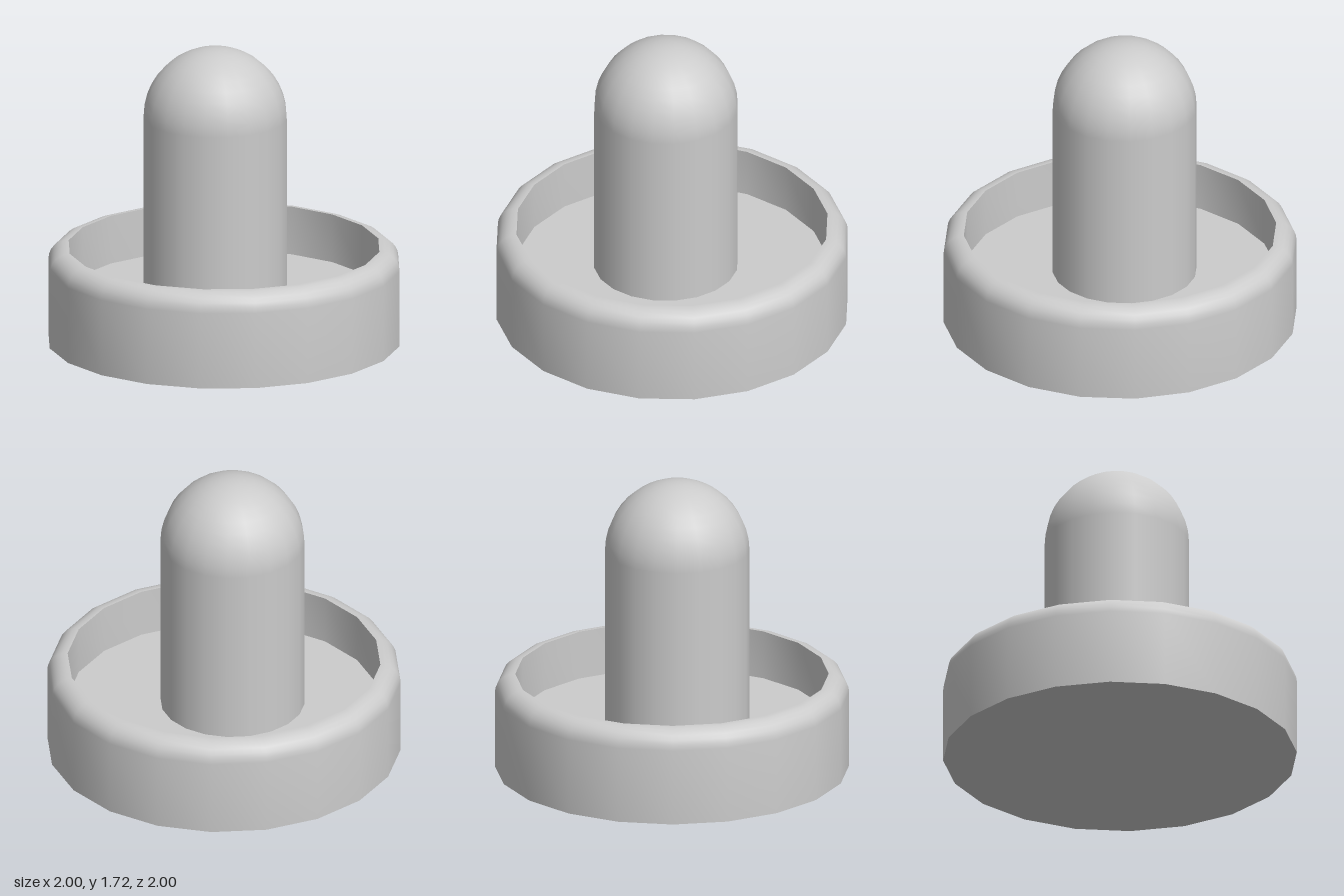
import * as THREE from 'three';
import { toCreasedNormals } from 'three/addons/utils/BufferGeometryUtils.js';

const SIDES = 20;
const material = new THREE.MeshStandardMaterial({ color: 0xcccccc });

function addPart(group, name, geometry, x = 0, y = 0) {
  const mesh = new THREE.Mesh(geometry, material);
  mesh.name = name;
  mesh.position.set(x, y, 0);
  group.add(mesh);
}

export function createModel() {
  const group = new THREE.Group();
  group.name = 'knobbedDisc';

  // Dish-shaped base: flat bottom, rounded outer rim, straight inner wall, sunken floor
  const height = 0.55, fillet = 0.11, innerRadius = 0.885, floorY = 0.27;
  const profile = [new THREE.Vector2(0, 0), new THREE.Vector2(1, 0)];
  for (let i = 0; i <= 6; i++) {
    const a = (i / 6) * Math.PI / 2;
    profile.push(new THREE.Vector2(
      1 - fillet + fillet * Math.cos(a),
      height - fillet + fillet * Math.sin(a)
    ));
  }
  profile.push(
    new THREE.Vector2(innerRadius, height),
    new THREE.Vector2(innerRadius, floorY),
    new THREE.Vector2(0, floorY)
  );
  addPart(group, 'base', toCreasedNormals(new THREE.LatheGeometry(profile, SIDES), 0.6));

  // Upright grip, set slightly off centre, with a hemispherical cap
  const radius = 0.408, gripX = -0.05, capY = 1.307;
  addPart(group, 'grip',
    new THREE.CylinderGeometry(radius, radius, capY - floorY, SIDES, 1, true),
    gripX, (capY + floorY) / 2);
  addPart(group, 'gripCap',
    new THREE.SphereGeometry(radius, SIDES, 10, 0, Math.PI * 2, 0, Math.PI / 2),
    gripX, capY);

  return group;
}
